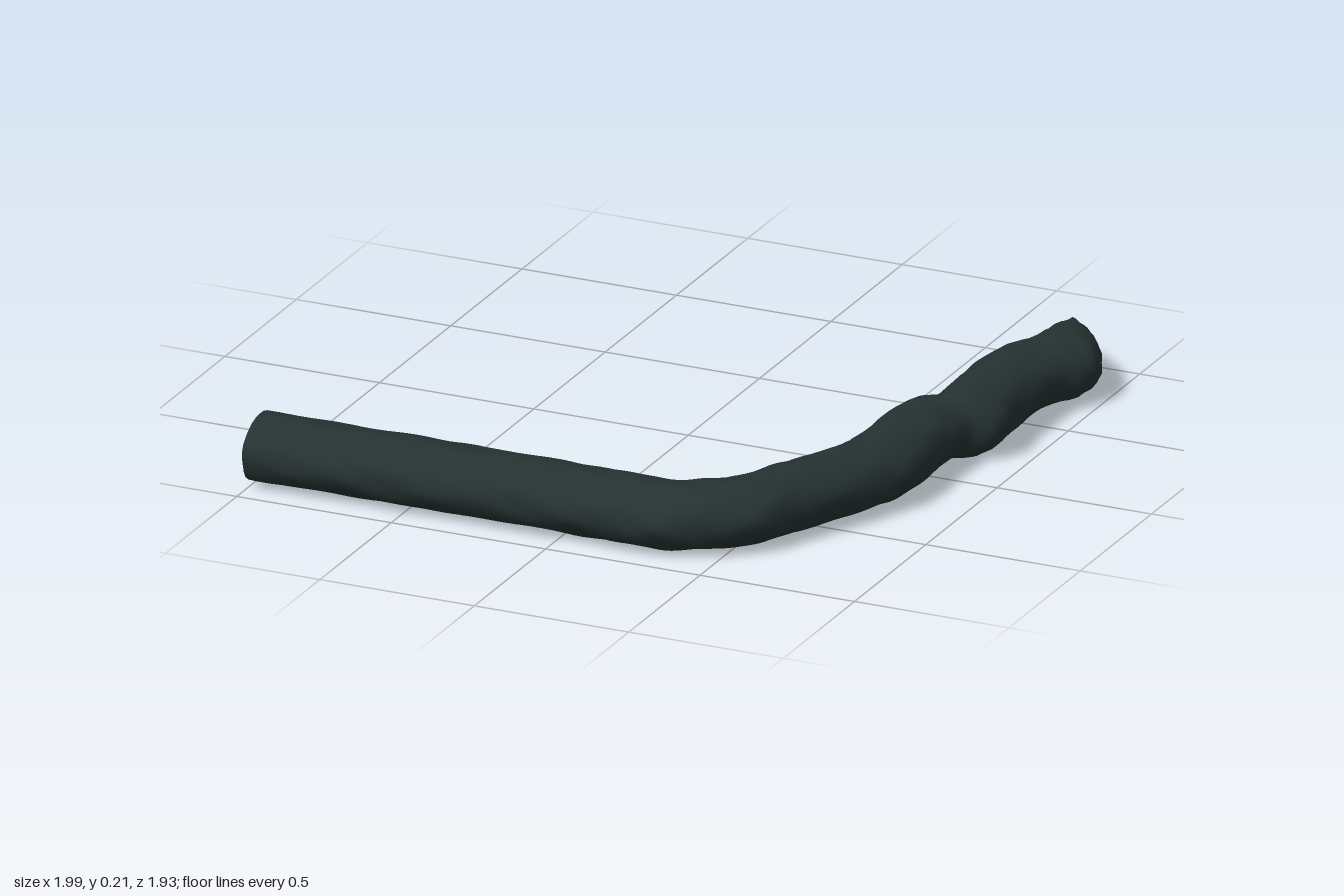
import * as THREE from 'three';

// Stations along the limb: inner edge x, z; outer edge x, z; half height
const STATIONS = [
  [-1, 0.712, -1, 0.963, 0.1],
  [-0.75, 0.712, -0.75, 0.963, 0.1],
  [-0.5, 0.712, -0.5, 0.963, 0.1],
  [-0.25, 0.712, -0.25, 0.963, 0.1],
  [0, 0.712, 0, 0.963, 0.1],
  [0.18, 0.712, 0.2, 0.963, 0.1],
  [0.3, 0.705, 0.34, 0.96, 0.1],
  [0.40, 0.65, 0.50, 0.88, 0.1],
  [0.455, 0.56, 0.61, 0.78, 0.1],
  [0.52, 0.43, 0.675, 0.64, 0.1],
  [0.595, 0.28, 0.80, 0.38, 0.1],
  [0.605, 0.19, 0.845, 0.25, 0.1],
  [0.605, 0.0, 0.85, 0.0, 0.1],
  [0.62, -0.1, 0.855, -0.12, 0.1],
  [0.67, -0.16, 0.92, -0.19, 0.1],
  [0.675, -0.35, 0.92, -0.35, 0.1],
  [0.675, -0.56, 0.925, -0.58, 0.1],
  [0.70, -0.65, 0.975, -0.68, 0.1],
  [0.74, -0.72, 0.99, -0.74, 0.1],
  [0.75, -0.82, 0.965, -0.81, 0.092],
  [0.755, -0.89, 0.905, -0.9, 0.073],
  [0.78, -0.965, 0.825, -0.965, 0.055],
];
const MID_Y = 0.108, SIDES = 28, RINGS = 150;

// Smooth repeatable surface lumps
const lump = (a, s) =>
  0.022 * Math.sin(3 * a + 31 * s) * Math.sin(47 * s + 2 * a) +
  0.016 * Math.sin(5 * a - 83 * s) + 0.012 * Math.sin(7 * a + 139 * s);

// Indexed loops of cross-sections following the two edge curves
function limbGeometry() {
  const curve = (k) => new THREE.CatmullRomCurve3(
    STATIONS.map((s) => new THREE.Vector3(s[k], s[4], s[k + 1])));
  const inner = curve(0), outer = curve(2);
  const pos = [], idx = [];
  for (let i = 0; i <= RINGS; i++) {
    const t = i / RINGS;
    const p = inner.getPoint(t), q = outer.getPoint(t);
    const cx = (p.x + q.x) / 2, cz = (p.z + q.z) / 2;
    const rx = (q.x - p.x) / 2, rz = (q.z - p.z) / 2;
    for (let j = 0; j < SIDES; j++) {
      const a = (j / SIDES) * Math.PI * 2;
      const r = 1 + lump(a, t);
      const c = Math.cos(a) * r;
      pos.push(i === 0 ? -1 : cx + rx * c, MID_Y + p.y * Math.sin(a) * r, cz + rz * c);
      if (i < RINGS) {
        const n = (j + 1) % SIDES, k = i * SIDES;
        const A = k + j, B = k + n, C = A + SIDES, D = B + SIDES;
        idx.push(A, C, B, B, C, D);
      }
    }
  }
  const g = new THREE.BufferGeometry();
  g.setAttribute('position', new THREE.Float32BufferAttribute(pos, 3));
  g.setIndex(idx);
  g.computeVertexNormals();
  return g;
}

// Flat fan closing one ring of the limb
function capGeometry(limb, ring, flip) {
  const src = limb.attributes.position, pos = [], idx = [];
  for (let j = 0; j < SIDES; j++) {
    const k = ring * SIDES + j;
    pos.push(src.getX(k), src.getY(k), src.getZ(k));
    if (j > 1) idx.push(0, flip ? j : j - 1, flip ? j - 1 : j);
  }
  const g = new THREE.BufferGeometry();
  g.setAttribute('position', new THREE.Float32BufferAttribute(pos, 3));
  g.setIndex(idx);
  g.computeVertexNormals();
  return g;
}

export function createModel() {
  const group = new THREE.Group();
  group.name = 'bentLimb';
  const dark = new THREE.MeshStandardMaterial({ color: 0x253231, side: THREE.DoubleSide });
  dark.name = 'dark slate green';

  const add = (name, geometry) => {
    const mesh = new THREE.Mesh(geometry, dark);
    mesh.name = name;
    group.add(mesh);
  };
  const limb = limbGeometry();
  add('limb', limb);
  add('cutEnd', capGeometry(limb, 0, false));
  add('tip', capGeometry(limb, RINGS, true));
  return group;
}
